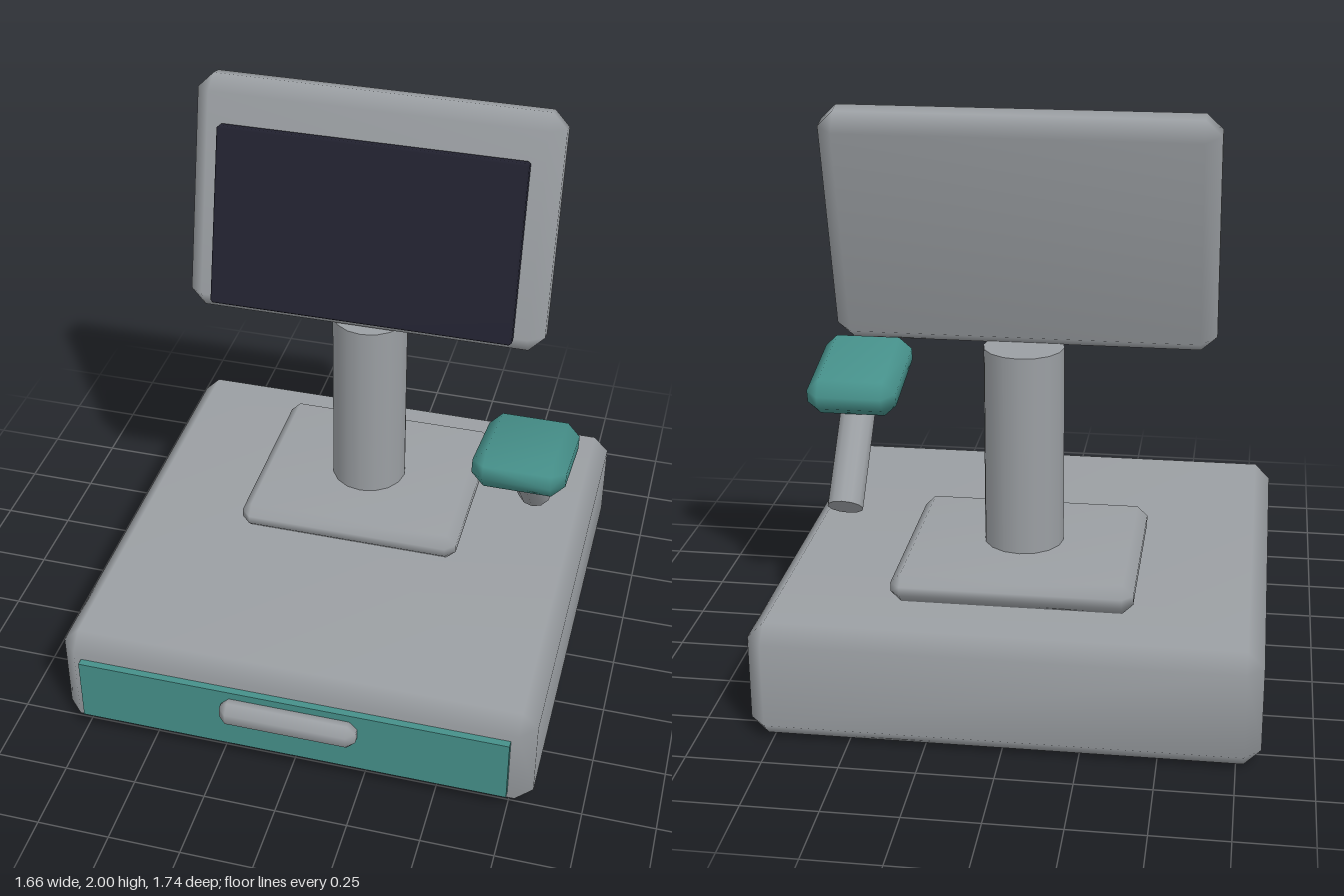
import * as THREE from 'three';
import { mergeVertices } from 'three/addons/utils/BufferGeometryUtils.js';
import { ConvexGeometry } from 'three/addons/geometries/ConvexGeometry.js';

const material = (name, color) => {
  const m = new THREE.MeshStandardMaterial({ color });
  m.name = name;
  return m;
};

// Box with one chamfer along every edge and soft, shared normals
function chamferBox(w, h, d, b) {
  const points = [];
  for (const sx of [-1, 1]) for (const sy of [-1, 1]) for (const sz of [-1, 1]) {
    const x = w / 2, y = h / 2, z = d / 2;
    points.push(
      new THREE.Vector3(sx * x, sy * (y - b), sz * (z - b)),
      new THREE.Vector3(sx * (x - b), sy * y, sz * (z - b)),
      new THREE.Vector3(sx * (x - b), sy * (y - b), sz * z));
  }
  const flat = new ConvexGeometry(points);
  flat.deleteAttribute('normal');
  const smooth = mergeVertices(flat, 1e-4);
  smooth.computeVertexNormals();
  return smooth;
}

export function createModel() {
  const grey = material('grey casing', 0x9b9fa3);
  const teal = material('teal accent', 0x46908a);
  const dark = material('dark glass', 0x222230);

  const model = new THREE.Group();
  model.name = 'cashRegister';
  const add = (name, geometry, mat, x, y, z, tilt = 0, parent = model) => {
    const mesh = new THREE.Mesh(geometry, mat);
    mesh.name = name;
    mesh.position.set(x, y, z);
    mesh.rotation.x = tilt;
    parent.add(mesh);
    return mesh;
  };

  // Cash drawer
  add('drawerCase', chamferBox(1.66, 0.4, 1.66, 0.055), grey, 0, 0.2, -0.04);
  add('drawerFront', new THREE.BoxGeometry(1.5, 0.24, 0.04), teal, 0, 0.2, 0.795);
  add('drawerHandle', chamferBox(0.475, 0.095, 0.08, 0.028), grey, 0, 0.248, 0.83);

  // Stand
  add('standFoot', chamferBox(0.8, 0.1, 0.715, 0.035), grey, 0, 0.45, -0.283);
  add('standColumn', new THREE.CylinderGeometry(0.135, 0.135, 0.74, 16), grey, 0, 0.82, -0.272);

  // Tilted monitor
  const monitor = new THREE.Group();
  monitor.name = 'monitor';
  monitor.position.set(0, 1.593, -0.302);
  monitor.rotation.x = -0.245;
  model.add(monitor);
  add('monitorCase', chamferBox(1.266, 0.827, 0.158, 0.053), grey, 0, 0, 0, 0, monitor);
  add('screen', chamferBox(1.066, 0.63, 0.046, 0.008), dark, 0, -0.057, 0.102, 0, monitor);

  // Hand scanner on the side
  add('scannerHead', chamferBox(0.316, 0.134, 0.4, 0.044), teal, 0.633, 0.943, 0.066, -0.215);
  add('scannerGrip', new THREE.CylinderGeometry(0.063, 0.063, 0.412, 12), grey, 0.633, 0.713, -0.095, 0.73);

  return model;
}
